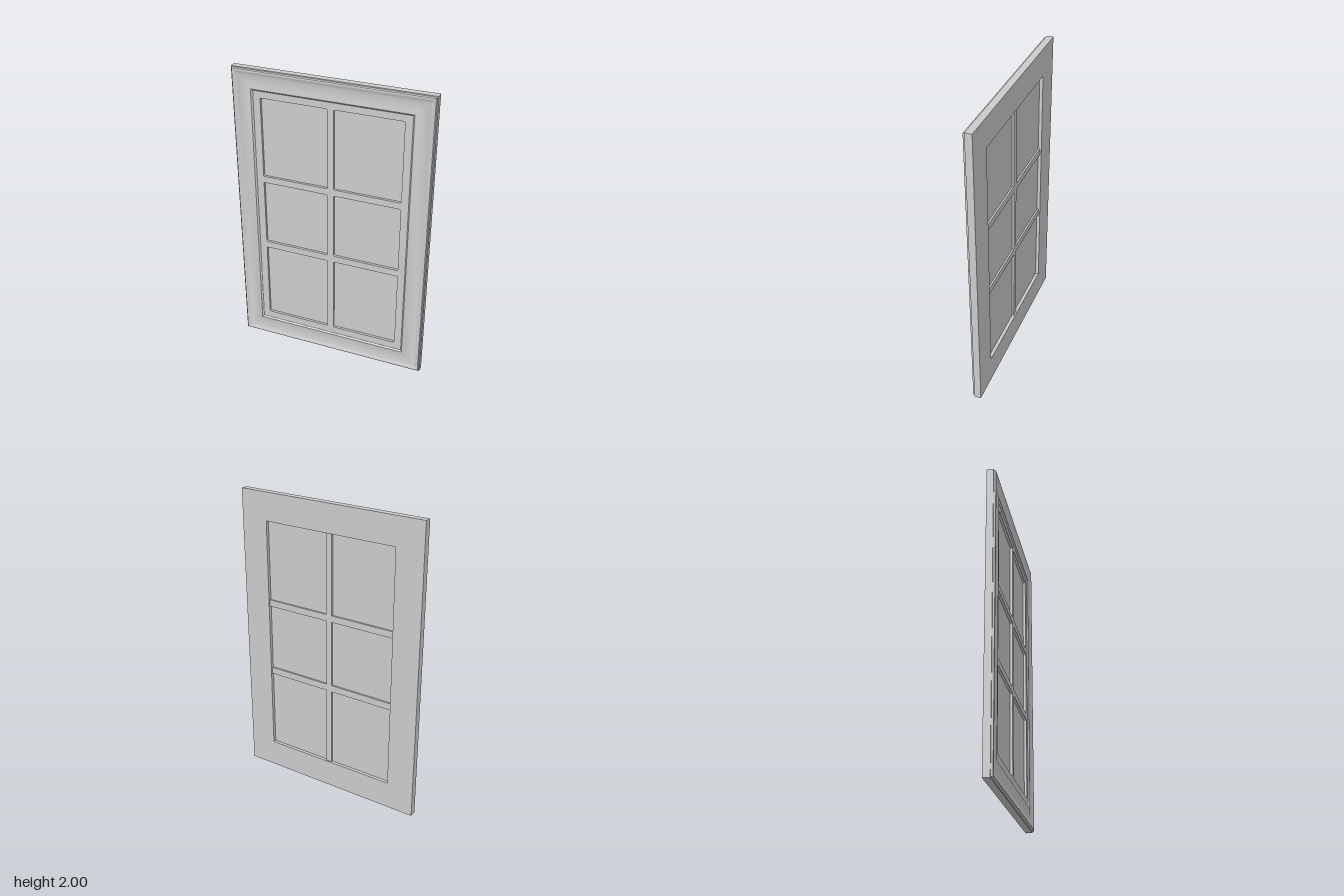
import * as THREE from 'three';
import { toCreasedNormals } from 'three/addons/utils/BufferGeometryUtils.js';

const HALF_W = 0.655, HALF_H = 1, CY = 1;
const BACK = -0.032, FIELD = 0.011, PANE = -0.006;
const RIM = 0.187;                 // frame width, outer edge to opening
const GRID_IN = 0.146;             // where the moulding meets the flat grid
const COLUMNS = [[-0.467, -0.021], [0.021, 0.467]];
const ROWS = [[0.19, 0.732], [0.778, 1.23], [1.275, 1.815]];

const material = new THREE.MeshStandardMaterial({ color: 0xcccccc });

function add(group, name, geometry, x = 0, y = 0, z = 0) {
  const mesh = new THREE.Mesh(geometry, material);
  mesh.name = name;
  mesh.position.set(x, y, z);
  group.add(mesh);
  return mesh;
}

// Sweep a profile of [inset, z] points around the rectangle with mitred corners
function mitredFrame(profile) {
  const signs = [[-1, -1], [1, -1], [1, 1], [-1, 1]];
  const point = (k, [d, z]) => {
    const [sx, sy] = signs[k % 4];
    return [sx * (HALF_W - d), CY + sy * (HALF_H - d), z];
  };
  const pos = [];
  for (let k = 0; k < 4; k++) {
    for (let j = 0; j < profile.length - 1; j++) {
      const a = point(k, profile[j]), b = point(k + 1, profile[j]);
      const c = point(k + 1, profile[j + 1]), d = point(k, profile[j + 1]);
      pos.push(...a, ...b, ...c, ...a, ...c, ...d);
    }
  }
  const geo = new THREE.BufferGeometry();
  geo.setAttribute('position', new THREE.Float32BufferAttribute(pos, 3));
  return toCreasedNormals(geo, 0.45);
}

function roundedRect(path, x0, x1, y0, y1, r) {
  path.moveTo(x0 + r, y0);
  path.lineTo(x1 - r, y0);
  path.absarc(x1 - r, y0 + r, r, -Math.PI / 2, 0);
  path.absarc(x1 - r, y1 - r, r, 0, Math.PI / 2);
  path.absarc(x0 + r, y1 - r, r, Math.PI / 2, Math.PI);
  path.absarc(x0 + r, y0 + r, r, Math.PI, Math.PI * 1.5);
  return path;
}

export function createModel() {
  const door = new THREE.Group();
  door.name = 'cabinetDoor';

  // Frame: flat back, stepped outer lip, shallow cove and inner bead
  const profile = [
    [RIM, 0.005], [RIM, BACK], [0, BACK], [0, 0.013],
    [0.006, 0.014], [0.007, 0.021], [0.010, 0.026], [0.014, 0.028], [0.019, 0.028],
  ];
  const steps = 12;
  for (let i = 1; i <= steps; i++) {
    const t = i / steps;
    const sag = 0.011 * 4 * t * (1 - t);
    profile.push([0.019 + 0.106 * t, 0.028 - 0.007 * t - sag]);
  }
  profile.push([0.130, 0.021], [0.134, 0.018], [0.137, 0.013], [0.140, FIELD], [GRID_IN, FIELD]);
  add(door, 'mouldedFrame', mitredFrame(profile));

  // Front grid: flat field with six softly rounded openings
  const field = new THREE.Shape();
  const gx = HALF_W - GRID_IN;
  field.moveTo(-gx, GRID_IN);
  field.lineTo(gx, GRID_IN);
  field.lineTo(gx, 2 - GRID_IN);
  field.lineTo(-gx, 2 - GRID_IN);
  for (const [x0, x1] of COLUMNS) {
    for (const [y0, y1] of ROWS) {
      field.holes.push(roundedRect(new THREE.Path(), x0, x1, y0, y1, 0.008));
    }
  }
  const depth = FIELD - PANE;
  add(door, 'frontGrid',
    new THREE.ExtrudeGeometry(field, { depth, bevelEnabled: false, curveSegments: 4 }), 0, 0, PANE);

  // Pane sheet behind the grid
  const openW = 2 * (HALF_W - RIM), openH = 2 * (HALF_H - RIM);
  add(door, 'pane', new THREE.BoxGeometry(openW, openH, 0.004), 0, CY, PANE - 0.002);

  // Back glazing bars, set in from the back of the frame
  const barDepth = 0.014, barZ = PANE - 0.002 - barDepth / 2;
  const barW = COLUMNS[1][0] - COLUMNS[0][1];
  add(door, 'backUprightBar', new THREE.BoxGeometry(barW, openH, barDepth), 0, CY, barZ);
  for (let i = 0; i < ROWS.length - 1; i++) {
    const y0 = ROWS[i][1], y1 = ROWS[i + 1][0];
    const length = (openW - barW) / 2;
    for (const side of [-1, 1]) {
      add(door, 'backCrossBar', new THREE.BoxGeometry(length, y1 - y0, barDepth),
        side * (barW + length) / 2, (y0 + y1) / 2, barZ);
    }
  }
  return door;
}
